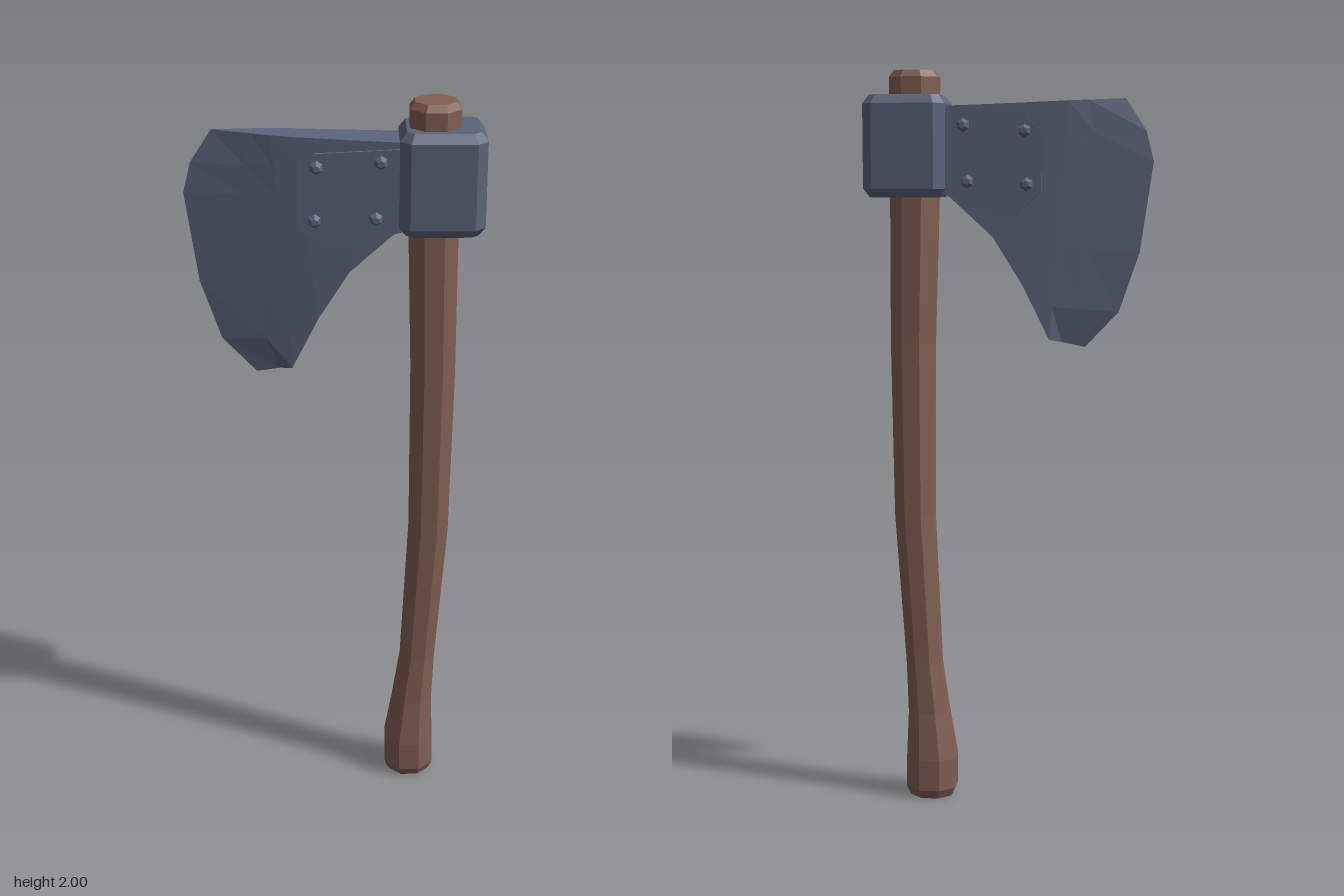
import * as THREE from 'three';

const metal = new THREE.MeshStandardMaterial({ color: 0x5b647a });
metal.name = 'blue grey steel';
const wood = new THREE.MeshStandardMaterial({ color: 0x815f52 });
wood.name = 'brown wood';

// Joins equal-length rings of points into a closed, faceted solid.
// Rings run counterclockwise when seen from the last ring.
function loft(name, rings, material) {
  const pos = [];
  const tri = (a, b, c) => pos.push(...a, ...b, ...c);
  const n = rings[0].length;
  for (let r = 0; r < rings.length - 1; r++) {
    for (let i = 0; i < n; i++) {
      const j = (i + 1) % n, A = rings[r], B = rings[r + 1];
      tri(A[i], A[j], B[j]);
      tri(A[i], B[j], B[i]);
    }
  }
  const first = rings[0], last = rings[rings.length - 1];
  for (let i = 1; i < n - 1; i++) {
    tri(first[0], first[i + 1], first[i]);
    tri(last[0], last[i], last[i + 1]);
  }
  const geo = new THREE.BufferGeometry();
  geo.setAttribute('position', new THREE.Float32BufferAttribute(pos, 3));
  geo.computeVertexNormals();
  const mesh = new THREE.Mesh(geo, material);
  mesh.name = name;
  return mesh;
}

// Rectangle with cut corners, lying flat at height y
function octagon(cx, y, hx, hz, cutX, cutZ = cutX) {
  const ix = hx - cutX, iz = hz - cutZ;
  return [[hx, iz], [hx, -iz], [ix, -hz], [-ix, -hz], [-hx, -iz], [-hx, iz], [-ix, hz], [ix, hz]]
    .map(([x, z]) => [cx + x, y, z]);
}

function makeHandle() {
  // y, left x, right x, half depth
  const sections = [
    [0, 0.162, 0.275, 0.053], [0.025, 0.15, 0.287, 0.065], [0.11, 0.149, 0.286, 0.065],
    [0.24, 0.17, 0.281, 0.051], [0.38, 0.19, 0.286, 0.046], [0.8, 0.208, 0.315, 0.05],
    [1.27, 0.205, 0.322, 0.055], [1.66, 0.193, 0.32, 0.062], [1.982, 0.19, 0.32, 0.064],
    [2, 0.203, 0.308, 0.052],
  ];
  return loft('handle', sections.map(([y, x0, x1, hz]) => {
    const hx = (x1 - x0) / 2;
    return octagon((x0 + x1) / 2, y, hx, hz, hx * 0.586, hz * 0.586);
  }), wood);
}

function makeSocket() {
  const rows = [[1.665, 0.017], [1.688, 0], [1.912, 0], [1.935, 0.017]];
  return loft('socket', rows.map(([y, inset]) =>
    octagon(0.275, y, 0.11 - inset, 0.097 - inset, 0.027 - inset * 0.5)), metal);
}

function makeBlade() {
  // Cutting edge, from the heel at the top to the toe at the bottom
  const edge = [[-0.31, 1.925], [-0.365, 1.84], [-0.385, 1.76], [-0.35, 1.52], [-0.295, 1.36], [-0.205, 1.265]];
  const rows = [0, 0.13, 0.25, 0.61, 0.86, 1];
  // Columns: top x, top y, bottom x, bottom y, half thickness at top and bottom
  const columns = [
    [0.18, 1.905, 0.18, 1.69, 0.055, 0.055], [0.04, 1.91, 0.04, 1.56, 0.048, 0.046],
    [-0.1, 1.916, -0.04, 1.43, 0.04, 0.039], [-0.16, 1.919, -0.11, 1.285, 0.034, 0.028],
  ].map(([x0, y0, x1, y1, h0, h1]) => rows.map(t =>
    [x0 + (x1 - x0) * t, y0 + (y1 - y0) * t, h0 + (h1 - h0) * t]));
  // Thinned column that forms the small step at the toe
  columns.push(columns[3].map(([x, y, h], i) => [
    x + (edge[i][0] - x) * 0.35, y + (edge[i][1] - y) * 0.35, h * (i === 5 ? 0.35 : 0.65)]));
  columns.push(edge.map(([x, y]) => [x, y, 0]));
  return loft('blade', columns.map(col => [
    ...col.slice().reverse().map(([x, y, h]) => [x, y, h]),
    ...col.map(([x, y, h]) => [x, y, -h]),
  ]), metal);
}

// Height of the cheek plate surface, thinner toward the edge
const plateHalf = x => 0.049 + 0.045 * (x + 0.09);

function makePlates() {
  const outline = [[0.18, 1.675], [0.18, 1.89], [-0.05, 1.875], [-0.09, 1.84], [-0.09, 1.68], [-0.015, 1.615]];
  return loft('cheekPlates', [-1, 1].map(s =>
    outline.map(([x, y]) => [x, y, s * plateHalf(x)])), metal);
}

function makeRivets() {
  const group = new THREE.Group();
  group.name = 'rivets';
  const geo = new THREE.CylinderGeometry(0.009, 0.021, 0.02, 6).toNonIndexed();
  geo.computeVertexNormals();
  for (const [x, y] of [[-0.045, 1.84], [0.118, 1.855], [-0.05, 1.7], [0.107, 1.707]]) {
    for (const side of [1, -1]) {
      const rivet = new THREE.Mesh(geo, metal);
      rivet.name = 'rivet';
      rivet.position.set(x, y, side * (plateHalf(x) + 0.006));
      rivet.rotation.x = side * Math.PI / 2;
      group.add(rivet);
    }
  }
  return group;
}

export function createModel() {
  const axe = new THREE.Group();
  axe.name = 'axe';
  axe.add(makeHandle(), makeSocket(), makeBlade(), makePlates(), makeRivets());
  return axe;
}
